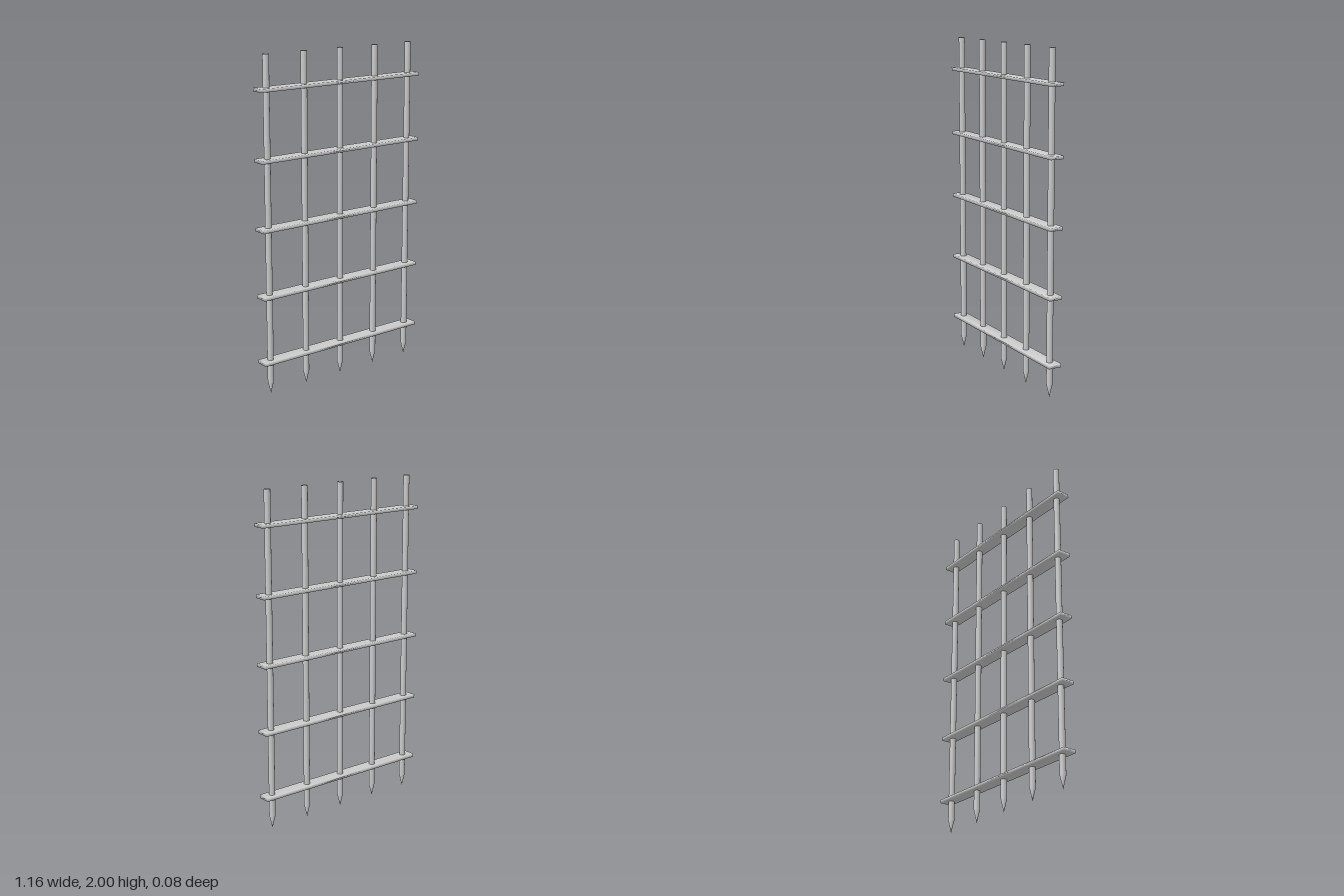
import * as THREE from 'three';
import { mergeVertices } from 'three/addons/utils/BufferGeometryUtils.js';

export function createModel() {
  const group = new THREE.Group();
  group.name = 'portcullis';
  const material = new THREE.MeshStandardMaterial({ color: 0xcccccc });
  const openMaterial = new THREE.MeshStandardMaterial({ color: 0xcccccc, side: THREE.DoubleSide });

  // Upright bar: a pointed foot and an open top
  const radius = 0.0185;
  const barGeometry = new THREE.LatheGeometry([
    new THREE.Vector2(0, 0),
    new THREE.Vector2(radius, 0.08),
    new THREE.Vector2(radius, 2),
  ], 12);

  // Flat crossbar with normals shared across its edges
  let slatGeometry = new THREE.BoxGeometry(1.16, 0.02, 0.08);
  slatGeometry.deleteAttribute('normal');
  slatGeometry.deleteAttribute('uv');
  slatGeometry = mergeVertices(slatGeometry);
  slatGeometry.computeVertexNormals();

  for (let i = 0; i < 5; i++) {
    const bar = new THREE.Mesh(barGeometry, openMaterial);
    bar.name = `uprightBar${i + 1}`;
    bar.position.x = (i - 2) * 0.26;

    const slat = new THREE.Mesh(slatGeometry, material);
    slat.name = `crossbar${i + 1}`;
    slat.position.y = 0.203 + i * 0.4;

    group.add(bar, slat);
  }
  return group;
}
